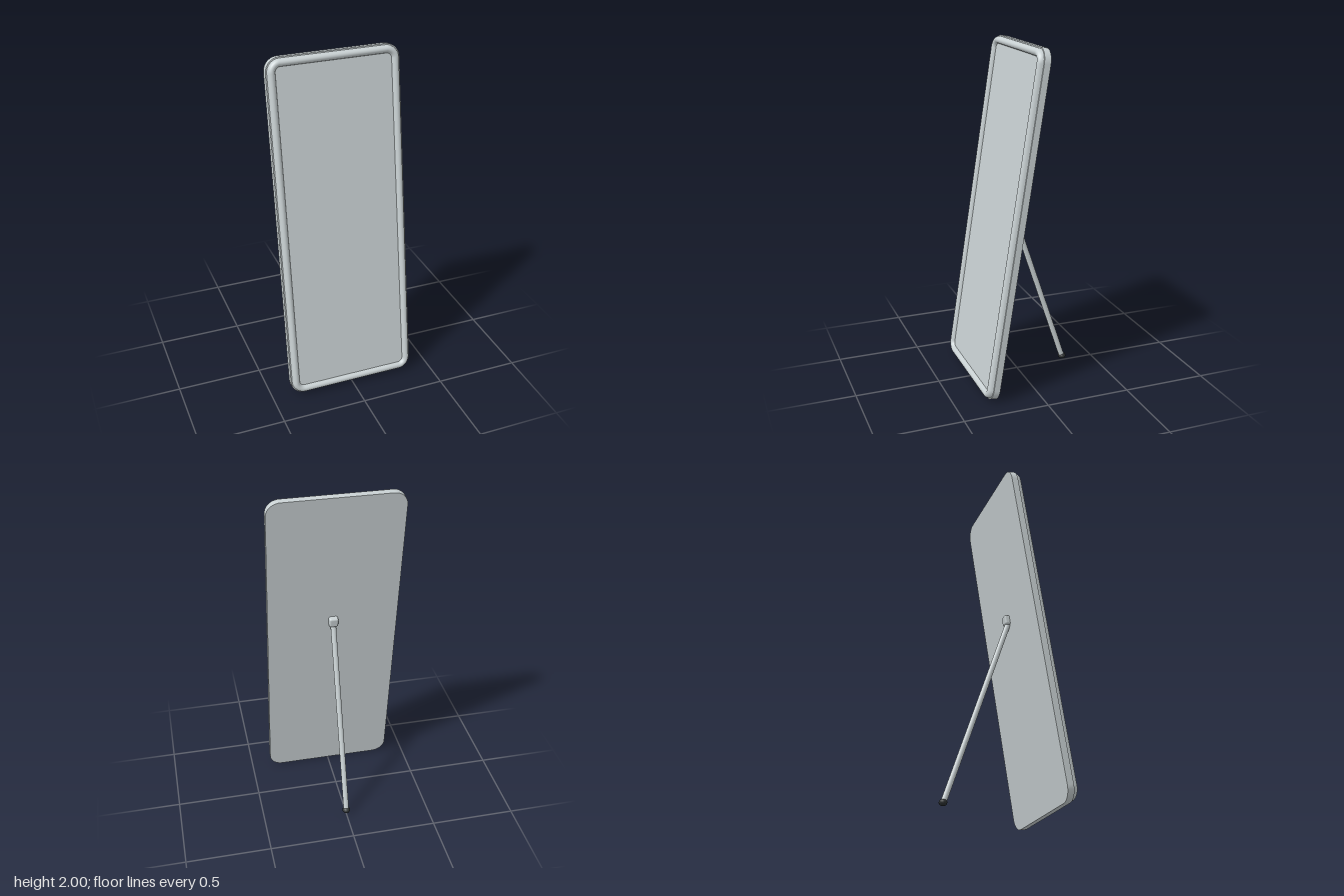
import * as THREE from 'three';
import { toCreasedNormals } from 'three/addons/utils/BufferGeometryUtils.js';
import { RoundedBoxGeometry } from 'three/addons/geometries/RoundedBoxGeometry.js';

const HALF_W = 0.385, HALF_H = 1.0075, CORNER = 0.08, STEPS = 10;
const TILT = THREE.MathUtils.degToRad(9);

// Points round the panel outline, moved inwards by inset
function outline(inset) {
  const points = [];
  for (let corner = 0; corner < 4; corner++) {
    const sx = corner === 0 || corner === 3 ? 1 : -1;
    const sy = corner < 2 ? 1 : -1;
    for (let i = 0; i <= STEPS; i++) {
      const a = (corner + i / STEPS) * Math.PI / 2;
      points.push(new THREE.Vector2(
        sx * (HALF_W - CORNER) + Math.cos(a) * (CORNER - inset),
        sy * (HALF_H - CORNER) + Math.sin(a) * (CORNER - inset)));
    }
  }
  return points;
}

// Flat slab with the panel outline
function slab(inset, depth) {
  const shape = new THREE.Shape(outline(inset));
  return toCreasedNormals(new THREE.ExtrudeGeometry(shape, { depth, bevelEnabled: false }), 0.6);
}

// Sweep a profile of [inset, z] pairs round the panel outline
function sweepRim(profile) {
  const positions = [], indices = [];
  const n = outline(0).length;
  for (const [inset, z] of profile) {
    for (const p of outline(inset)) positions.push(p.x, p.y, z);
  }
  for (let r = 0; r < profile.length - 1; r++) {
    for (let i = 0; i < n; i++) {
      const j = (i + 1) % n;
      const a = r * n + i, b = r * n + j, c = a + n, d = b + n;
      indices.push(a, b, d, a, d, c);
    }
  }
  const geometry = new THREE.BufferGeometry();
  geometry.setAttribute('position', new THREE.Float32BufferAttribute(positions, 3));
  geometry.setIndex(indices);
  geometry.computeVertexNormals();
  return geometry;
}

export function createModel() {
  const model = new THREE.Group();
  model.name = 'standingMirror';

  const metal = new THREE.MeshStandardMaterial({ color: 0xc8d0d2 });
  metal.name = 'pale metal';
  const rubber = new THREE.MeshStandardMaterial({ color: 0x2c3031 });
  rubber.name = 'dark rubber';

  const add = (parent, name, geometry, material) => {
    const mesh = new THREE.Mesh(geometry, material);
    mesh.name = name;
    parent.add(mesh);
    return mesh;
  };

  // Leaning panel: its local z = 0 is the back face
  const panel = new THREE.Group();
  panel.name = 'panel';
  panel.position.set(0, HALF_H * Math.cos(TILT), 0.1025);
  panel.rotation.x = -TILT;
  model.add(panel);

  add(panel, 'backShell', slab(0, 0.038), metal);
  add(panel, 'glass', slab(0.045, 0.01), metal).position.z = 0.037;

  // Half-round front rim
  const profile = [];
  for (let i = 0; i <= 10; i++) {
    const a = i / 10 * Math.PI;
    profile.push([0.0295 - Math.cos(a) * 0.0225, 0.038 + Math.sin(a) * 0.03]);
  }
  add(panel, 'frontRim', sweepRim(profile), metal);

  // Hinge block on the back
  const hinge = add(model, 'hinge', new RoundedBoxGeometry(0.054, 0.06, 0.05, 3, 0.012), metal);
  hinge.position.set(0, 1.168, 0.07);
  hinge.rotation.x = -TILT;

  // Support leg, from hinge to floor
  const top = new THREE.Vector3(0, 1.15, 0.074);
  const bottom = new THREE.Vector3(0, 0.03, -0.3);
  const along = top.clone().sub(bottom);
  const leg = add(model, 'leg', new THREE.CylinderGeometry(0.0165, 0.0165, along.length(), 16), metal);
  leg.position.copy(top).add(bottom).multiplyScalar(0.5);
  leg.quaternion.setFromUnitVectors(new THREE.Vector3(0, 1, 0), along.normalize());

  // Rubber foot
  const foot = add(model, 'foot', new THREE.SphereGeometry(0.024, 12, 8), rubber);
  foot.scale.y = 0.8;
  foot.position.set(0, 0.031, -0.301);

  return model;
}
